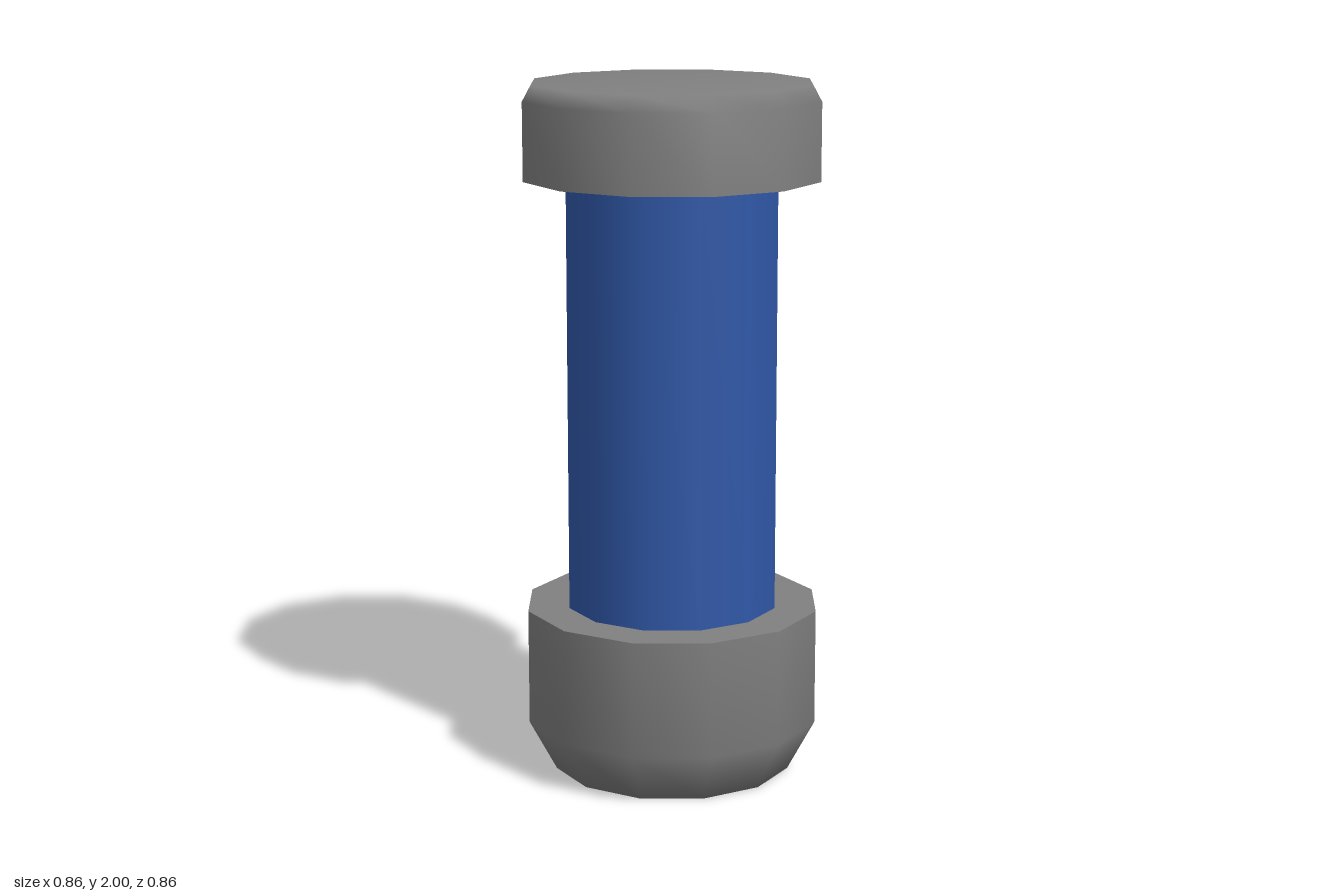
import * as THREE from 'three';
import { mergeGeometries } from 'three/addons/utils/BufferGeometryUtils.js';

const SIDES = 12;

// Each profile is smooth along itself; separate profiles meet in a hard edge.
function turned(name, material, ...profiles) {
  const parts = profiles.map((profile) =>
    new THREE.LatheGeometry(profile.map(([r, y]) => new THREE.Vector2(r, y)), SIDES));
  const mesh = new THREE.Mesh(mergeGeometries(parts), material);
  mesh.name = name;
  return mesh;
}

export function createModel() {
  const grey = new THREE.MeshStandardMaterial({ color: 0x808080 });
  grey.name = 'grey metal';
  const blue = new THREE.MeshStandardMaterial({ color: 0x3058a8 });
  blue.name = 'blue casing';

  const model = new THREE.Group();
  model.name = 'canister';
  model.add(
    // Bottom cap with a tapered foot and a flat upper rim
    turned('bottomCap', grey,
      [[0, 0], [0.35, 0], [0.43, 0.15], [0.43, 0.487]],
      [[0.43, 0.487], [0, 0.487]]),
    // Straight tube between the caps
    turned('tube', blue, [[0.308, 0.487], [0.308, 1.732]]),
    // Top cap with a small bevel and a flat underside
    turned('topCap', grey,
      [[0, 1.732], [0.43, 1.732]],
      [[0.43, 1.732], [0.43, 1.955], [0.405, 2], [0, 2]]),
  );
  return model;
}
